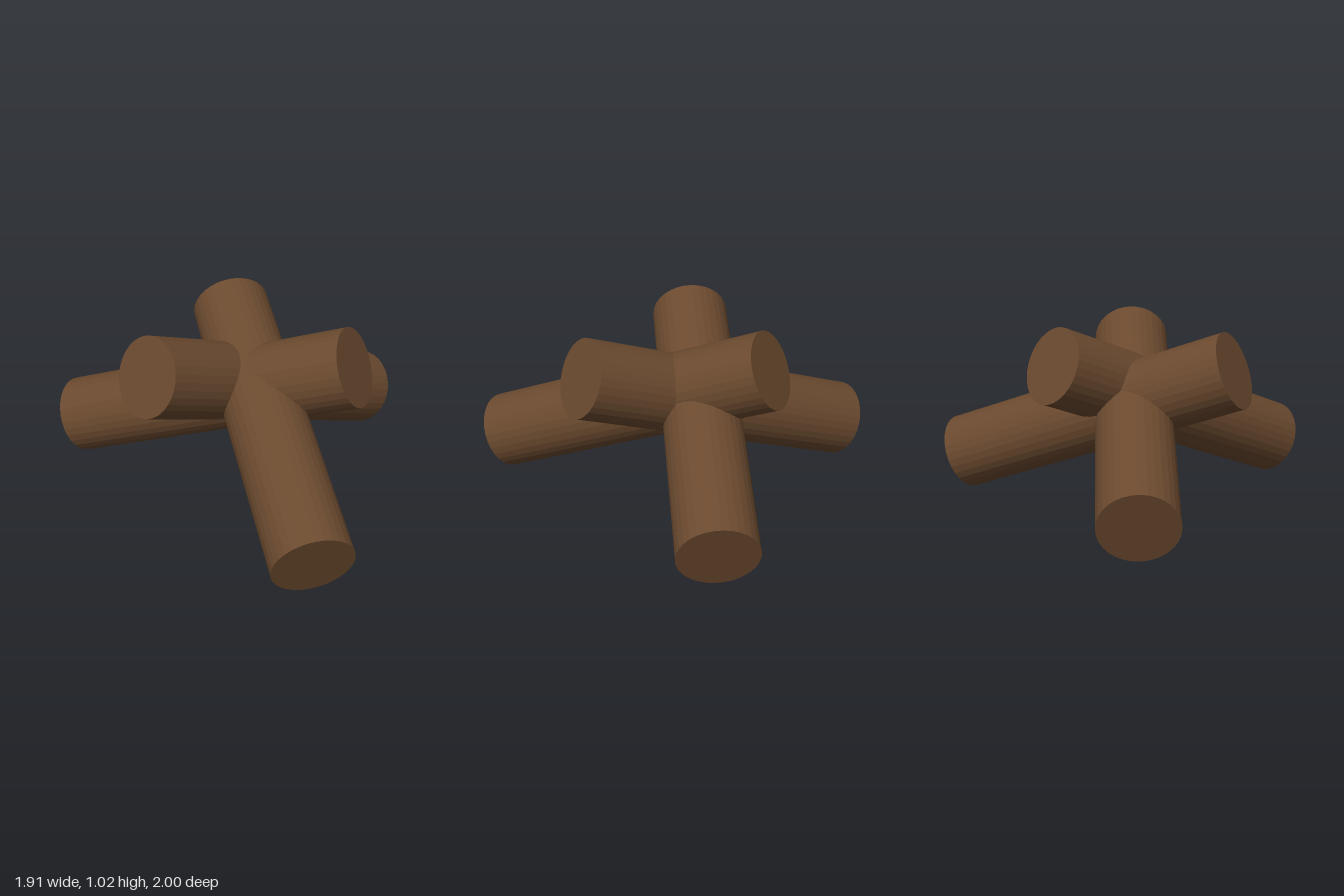
import * as THREE from 'three';

const UP = new THREE.Vector3(0, 1, 0);

// A straight round log running between the centres of its two end cuts
function makeLog(name, low, high, radius, material) {
  const a = new THREE.Vector3(...low);
  const b = new THREE.Vector3(...high);
  const axis = b.clone().sub(a);
  const log = new THREE.Mesh(new THREE.CylinderGeometry(radius, radius, axis.length(), 32), material);
  log.name = name;
  log.position.copy(a).add(b).multiplyScalar(0.5);
  log.quaternion.setFromUnitVectors(UP, axis.normalize());
  return log;
}

export function createModel() {
  const group = new THREE.Group();
  group.name = 'logPile';
  const wood = new THREE.MeshStandardMaterial({ color: 0x6b4a2f, flatShading: true });
  const radius = 0.204;

  // Three leaning logs crossing through one another, each with one end low and one raised
  const logs = [
    ['sideLog', [-0.887, 0.212, 0.035], [0.683, 0.812, 0.035]],
    ['frontLog', [0.785, 0.192, 0.86], [-0.165, 0.83, -0.385]],
    ['backLog', [0.435, 0.212, -0.9], [-0.213, 0.812, 0.537]],
  ];
  for (const [name, low, high] of logs) group.add(makeLog(name, low, high, radius, wood));

  return group;
}
